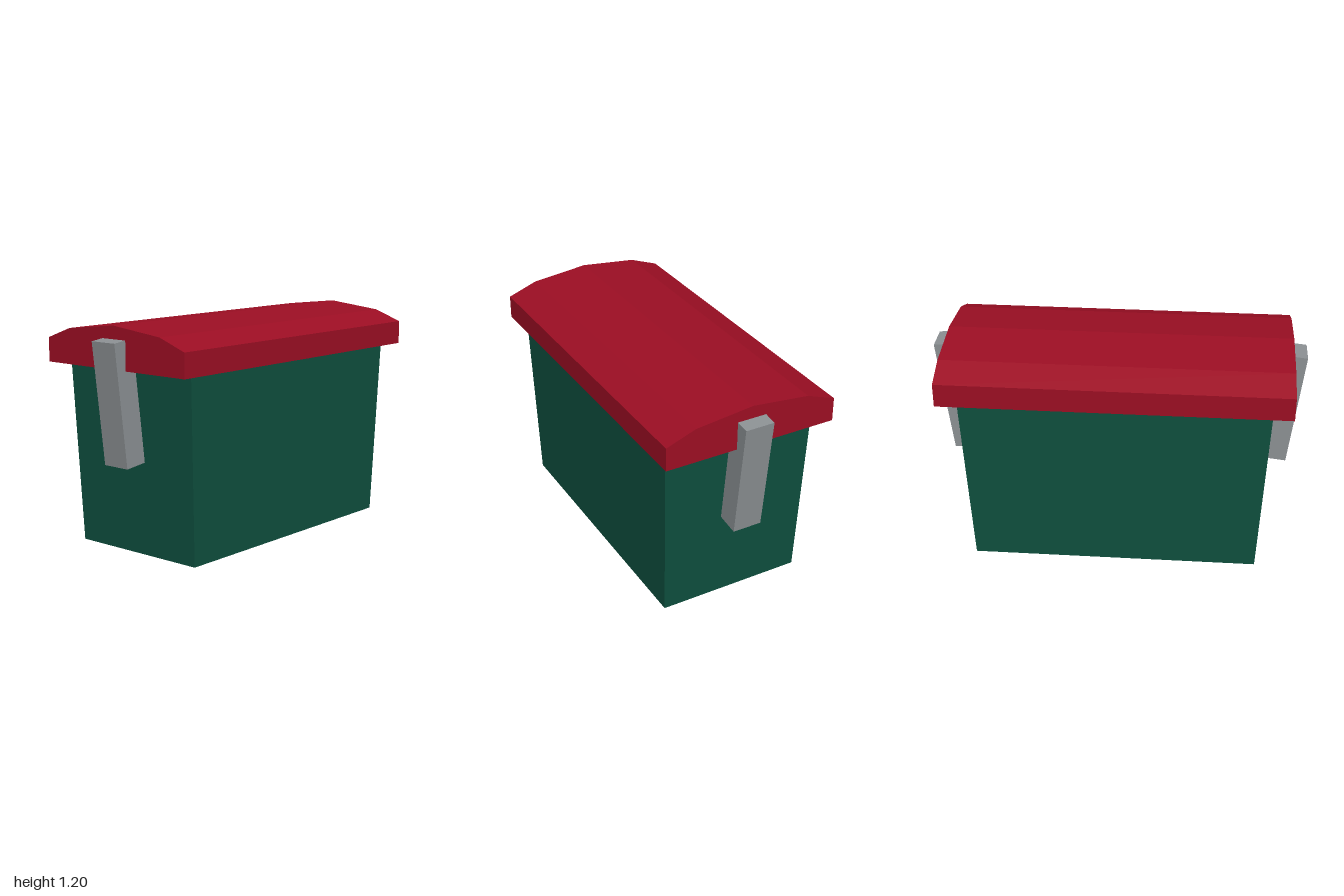
import * as THREE from 'three';

const mat = (name, color) => {
  const m = new THREE.MeshStandardMaterial({ color });
  m.name = name;
  return m;
};

export function createModel() {
  const green = mat('dark green', 0x0e4f3e);
  const red = mat('crimson', 0x9b0e23);
  const grey = mat('grey', 0x8b9093);

  const group = new THREE.Group();
  group.name = 'coolBox';
  const add = (name, geometry, material) => {
    const mesh = new THREE.Mesh(geometry, material);
    mesh.name = name;
    group.add(mesh);
    return mesh;
  };

  // Tub: a box that widens slightly towards the top
  const height = 0.99;
  const tub = new THREE.BoxGeometry(2, height, 2).translate(0, height / 2, 0);
  const p = tub.attributes.position;
  for (let i = 0; i < p.count; i++) {
    const t = p.getY(i) / height;
    p.setX(i, p.getX(i) * (0.775 + 0.045 * t));
    p.setZ(i, p.getZ(i) * (0.4 + 0.025 * t));
  }
  tub.computeVertexNormals();
  add('tub', tub, green);

  // Lid: faceted, arched profile running along x
  const half = [[0.479, 0.978], [0.479, 1.106], [0.318, 1.165]];
  const outline = [
    ...half,
    [0, 1.2],
    ...half.map(([z, y]) => [-z, y]).reverse(),
  ].map(([z, y]) => new THREE.Vector2(z, y));
  const lid = new THREE.ExtrudeGeometry(new THREE.Shape(outline), { depth: 1.85, bevelEnabled: false });
  lid.translate(0, 0, -0.925).rotateY(-Math.PI / 2);
  add('lid', lid, red);

  // Handle arms: one leaning outwards at each end
  for (const side of [1, -1]) {
    const arm = add(side > 0 ? 'leftHandle' : 'rightHandle', new THREE.BoxGeometry(0.125, 0.645, 0.16), grey);
    arm.position.set(side * 0.9, 0.81, 0.005);
    arm.rotation.z = -side * 0.117;
  }

  return group;
}
